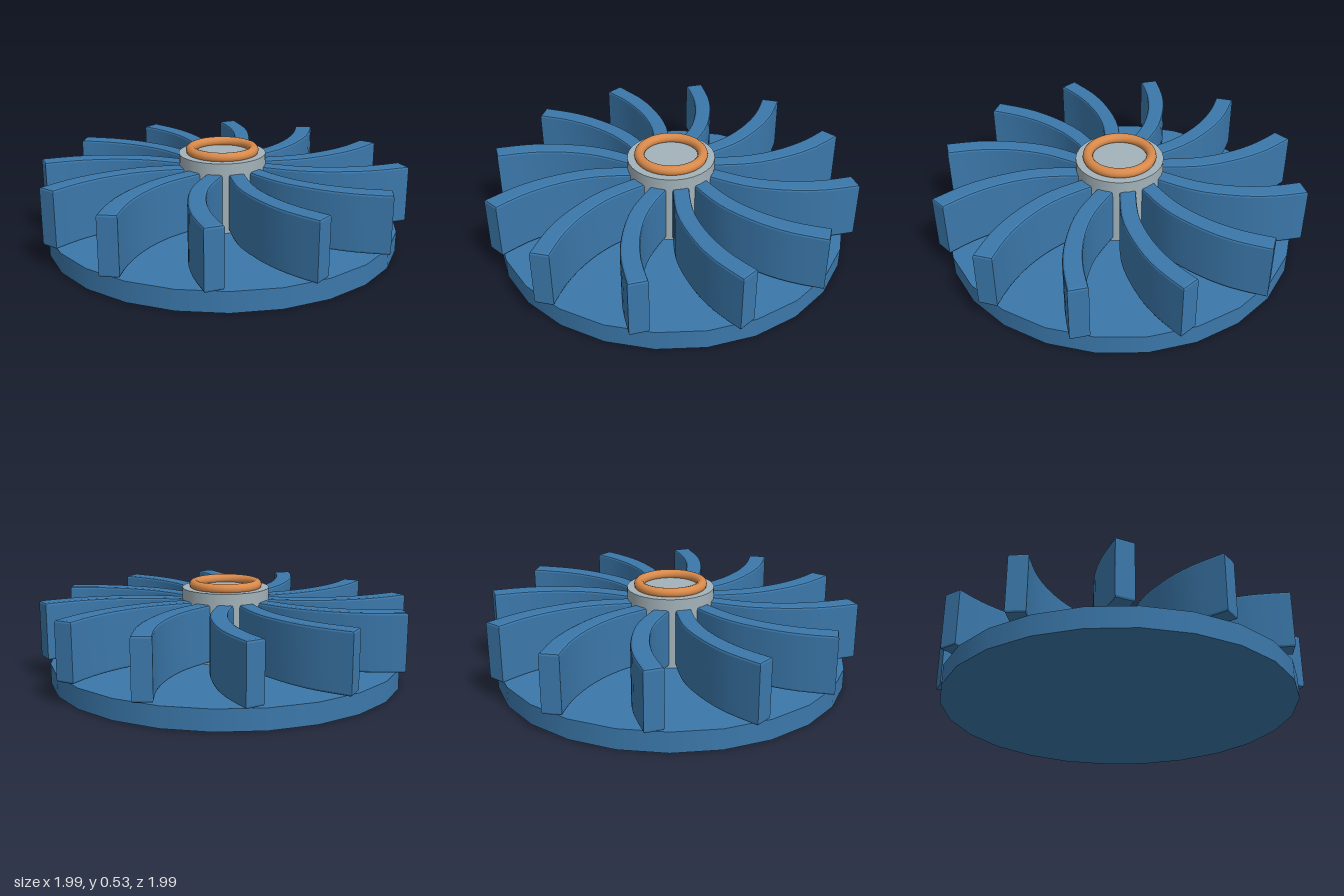
import * as THREE from 'three';
import { toCreasedNormals } from 'three/addons/utils/BufferGeometryUtils.js';

const BLADES = 12;
const BEVEL = 0.012;

const blue = new THREE.MeshStandardMaterial({ color: 0x3b78ab });
const steel = new THREE.MeshStandardMaterial({ color: 0xa3b3ba });
const copper = new THREE.MeshStandardMaterial({ color: 0xd98a4b });

function part(name, geometry, material, y = 0) {
  const mesh = new THREE.Mesh(geometry, material);
  mesh.name = name;
  mesh.position.y = y;
  return mesh;
}

// Curved blade outline in plan: x runs outwards, y runs around the hub
function bladeGeometry() {
  const toPoints = (list) => list.map(([r, t]) => new THREE.Vector2(r, t));
  const inner = new THREE.SplineCurve(toPoints([[0.17, -0.03], [0.24, 0.01], [0.43, 0.077], [0.62, 0.095], [0.8, 0.073], [0.96, 0.022]]));
  const outer = new THREE.SplineCurve(toPoints([[0.995, 0.115], [0.81, 0.17], [0.63, 0.187], [0.42, 0.168], [0.22, 0.095], [0.15, 0.055]]));
  const shape = new THREE.Shape([...inner.getPoints(16), ...outer.getPoints(16)]);
  const geometry = new THREE.ExtrudeGeometry(shape, {
    depth: 0.31 - 2 * BEVEL,
    bevelThickness: BEVEL,
    bevelSize: BEVEL,
    bevelOffset: -BEVEL,
    bevelSegments: 2,
  });
  geometry.rotateX(Math.PI / 2);
  return toCreasedNormals(geometry, 0.35);
}

export function createModel() {
  const model = new THREE.Group();
  model.name = 'impeller';

  // Backing disc, hub and sealing ring
  model.add(part('backPlate', new THREE.CylinderGeometry(0.95, 0.95, 0.108, 24), blue, 0.054));
  model.add(part('hub', new THREE.CylinderGeometry(0.235, 0.235, 0.39, 32), steel, 0.295));
  const ring = new THREE.TorusGeometry(0.17, 0.027, 12, 40).rotateX(Math.PI / 2);
  model.add(part('sealRing', ring, copper, 0.505));

  // Swept blades around the hub
  const blades = new THREE.Group();
  blades.name = 'blades';
  const geometry = bladeGeometry();
  for (let i = 0; i < BLADES; i++) {
    const blade = part('blade', geometry, blue, 0.43 - BEVEL);
    blade.rotation.y = (i / BLADES) * Math.PI * 2;
    blades.add(blade);
  }
  model.add(blades);
  return model;
}
